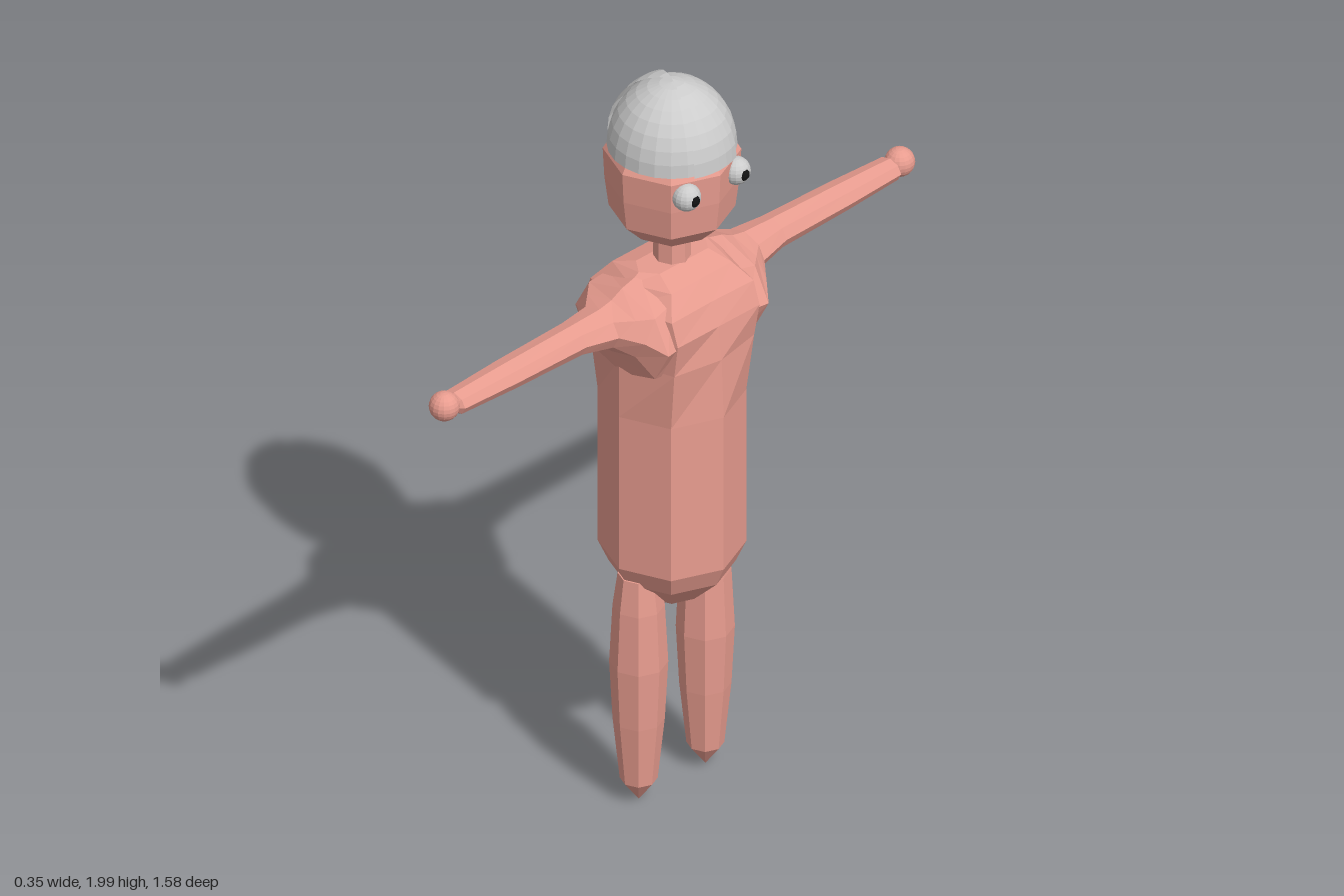
import * as THREE from 'three';

const mat = (color) => new THREE.MeshStandardMaterial({ color, flatShading: true, side: THREE.DoubleSide });
const skin = mat(0xe89c8f), grey = mat(0xcccccc), black = mat(0x111111);

function add(parent, name, geometry, material, x = 0, y = 0, z = 0) {
  const mesh = new THREE.Mesh(geometry, material);
  mesh.name = name;
  mesh.position.set(x, y, z);
  parent.add(mesh);
  return mesh;
}

// Skin over a row of rings with equal point counts
function loft(rings) {
  const n = rings[0].length, index = [];
  for (let r = 0; r < rings.length - 1; r++) {
    for (let i = 0; i < n; i++) {
      const a = r * n + i, b = r * n + (i + 1) % n;
      index.push(a, a + n, b, b, a + n, b + n);
    }
  }
  const g = new THREE.BufferGeometry();
  g.setAttribute('position', new THREE.Float32BufferAttribute(rings.flat(2), 3));
  g.setIndex(index);
  g.computeVertexNormals();
  return g;
}

// Eight-sided ring from its half width, half depth and diagonal corner
function torsoRing([y, ax, az, dx = ax * 0.71, dz = az * 0.71]) {
  return [[ax, 0], [dx, dz], [0, az], [-dx, dz], [-ax, 0], [-dx, -dz], [0, -az], [dx, -dz]]
    .map(([x, z]) => [x, y, z]);
}

// Eight-sided upright ring of the arm at depth z
function armRing([z, cy, rx, ry]) {
  return Array.from({ length: 8 }, (_, i) => {
    const a = -i * Math.PI / 4;
    return [rx * Math.cos(a), cy + ry * Math.sin(a), z];
  }).reverse();
}

// Turned eight-sided form with its edges on the axes
const turned = (profile, sides = 8) =>
  new THREE.LatheGeometry(profile.map(([r, y]) => new THREE.Vector2(r, y)), sides);

export function createModel() {
  const model = new THREE.Group();
  model.name = 'figure';

  // Torso: rounded column that squares out at the chest
  add(model, 'torso', loft([
    [0.54, 0, 0], [0.56, 0.075, 0.075], [0.635, 0.15, 0.15], [0.69, 0.175, 0.175],
    [1.12, 0.175, 0.175], [1.28, 0.168, 0.175, 0.143, 0.132],
    [1.37, 0.158, 0.175, 0.158, 0.135], [1.43, 0.135, 0.17, 0.138, 0.135],
    [1.48, 0.1, 0.14, 0.1, 0.1], [1.5, 0.04, 0.11, 0.04, 0.08], [1.5, 0, 0],
  ].map(torsoRing)), skin);

  // Neck and head
  add(model, 'neck', new THREE.CylinderGeometry(0.042, 0.046, 0.15, 8), skin, 0, 1.545, 0);
  add(model, 'head', turned([
    [0, 1.58], [0.1, 1.588], [0.15, 1.64], [0.16, 1.72], [0.164, 1.8], [0.13, 1.86], [0, 1.9],
  ]), skin);

  // Cap: dome with two raised gores, front and back
  const cap = new THREE.Group();
  cap.name = 'cap';
  cap.position.y = 1.815;
  cap.scale.y = 1.12;
  model.add(cap);
  add(cap, 'dome', new THREE.SphereGeometry(0.155, 24, 8, 0, Math.PI * 2, 0, Math.PI / 2), grey);
  for (const middle of [0, Math.PI]) {
    add(cap, 'gore', new THREE.SphereGeometry(0.163, 6, 8, middle - 0.44, 0.88, 0, Math.PI / 2), grey);
  }

  for (const s of [1, -1]) {
    // Eye looking along +x
    add(model, 'eye', new THREE.SphereGeometry(0.035, 16, 12), grey, 0.133, 1.763, s * 0.082);
    add(model, 'pupil', new THREE.SphereGeometry(0.018, 12, 8), black, 0.154, 1.763, s * 0.082);

    // Arm flaring into the shoulder, with a ball hand
    const arm = add(model, 'arm', loft([
      [0.11, 1.36, 0.15, 0.135], [0.165, 1.36, 0.158, 0.12], [0.2, 1.39, 0.115, 0.072],
      [0.24, 1.404, 0.067, 0.05], [0.33, 1.412, 0.05, 0.039], [0.55, 1.412, 0.046, 0.034],
      [0.72, 1.412, 0.038, 0.028], [0.75, 1.412, 0, 0],
    ].map(armRing)), skin);
    if (s < 0) arm.rotation.y = Math.PI;
    add(model, 'hand', new THREE.SphereGeometry(0.037, 16, 12), skin, 0, 1.417, s * 0.752);

    // Leg tapering to a point
    add(model, 'leg', turned([
      [0, 0.01], [0.045, 0.07], [0.062, 0.24], [0.07, 0.4], [0.062, 0.56], [0.05, 0.65], [0, 0.665],
    ]), skin, 0, 0, s * 0.11);
  }
  return model;
}
